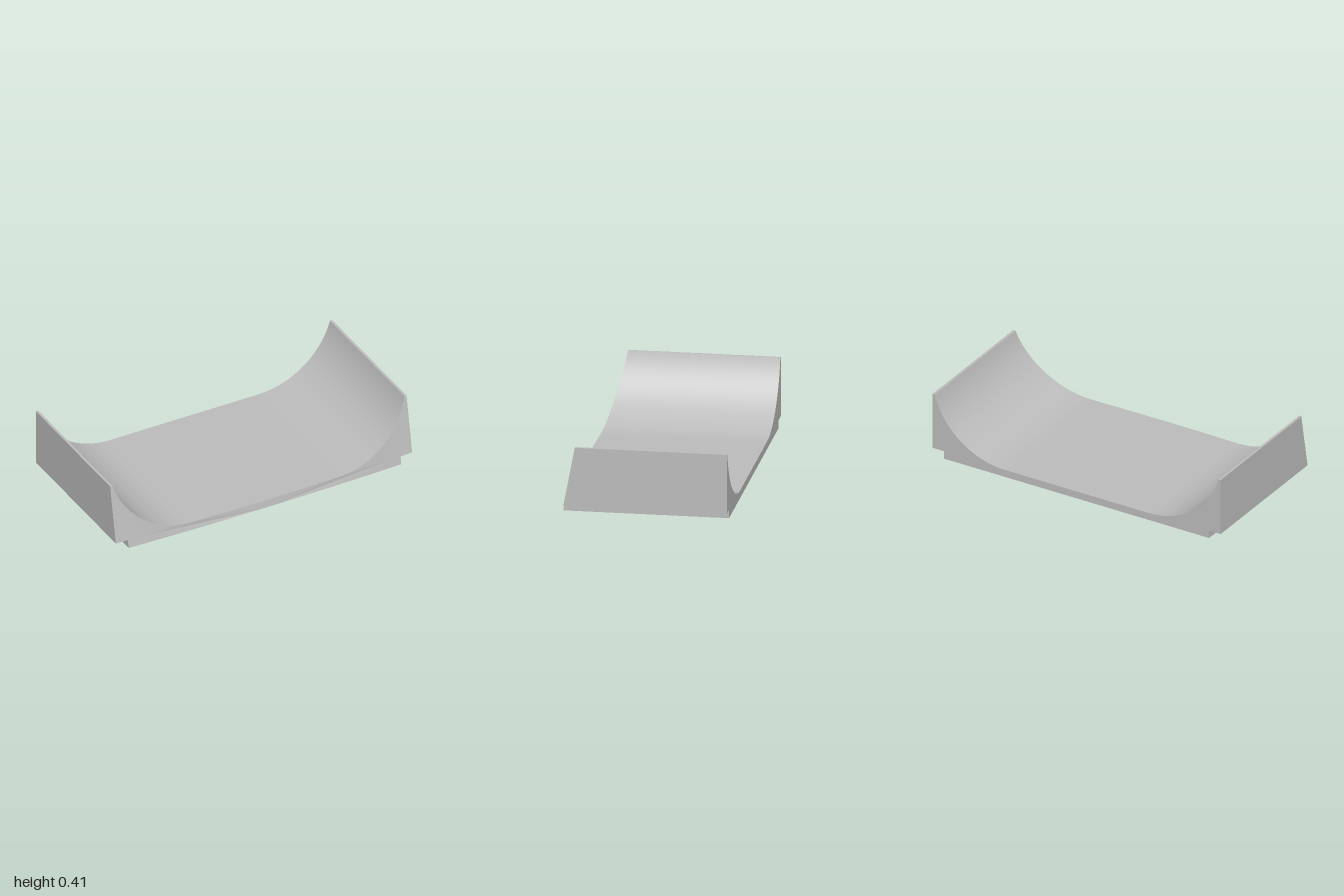
import * as THREE from 'three';
import { toCreasedNormals } from 'three/addons/utils/BufferGeometryUtils.js';

const BACK = -0.505;
const FLOOR = 0.047;
const TOP = 0.415;
const RADIUS = 0.503;

// Height of the inner surface: flat floor with a circular sweep up each side
function innerHeight(angle) {
  return FLOOR + RADIUS * (1 - Math.cos(angle));
}

export function createModel() {
  const group = new THREE.Group();
  group.name = 'curvedCradle';
  const grey = new THREE.MeshStandardMaterial({ color: 0xbcbcbc });
  grey.name = 'light grey';

  // Cross-section, starting along the underside
  const pts = [];
  const steps = 16;
  for (let i = 0; i <= steps; i++) pts.push([-0.92 + (1.84 * i) / steps, 0]);
  pts.push([0.92, 0.05], [1, 0.05], [1, TOP]);

  // Right-hand sweep, floor, then the mirrored sweep
  const arcSteps = 28;
  const maxAngle = Math.acos(1 - (TOP - FLOOR) / RADIUS);
  const arc = [];
  for (let i = 0; i <= arcSteps; i++) {
    const a = (maxAngle * i) / arcSteps;
    arc.push([0.5 + RADIUS * Math.sin(a), innerHeight(a)]);
  }
  for (let i = arcSteps; i >= 0; i--) pts.push(arc[i]);
  for (let i = 1; i < 8; i++) pts.push([0.5 - i / 8, FLOOR]);
  for (const [x, y] of arc) pts.push([-x, y]);
  pts.push([-1, TOP], [-1, 0.05], [-0.92, 0.05]);

  const shape = new THREE.Shape(pts.map(([x, y]) => new THREE.Vector2(x, y)));
  const geometry = new THREE.ExtrudeGeometry(shape, { depth: 1, bevelEnabled: false });

  // Slope the front face back with height and bow it slightly across the width
  const p = geometry.attributes.position;
  for (let i = 0; i < p.count; i++) {
    const x = p.getX(i), y = p.getY(i);
    const front = 0.505 - 0.19 * y - 0.02 * x * x;
    p.setZ(i, p.getZ(i) > 0.5 ? front : BACK);
  }
  geometry.clearGroups();

  const body = new THREE.Mesh(toCreasedNormals(geometry, 0.4), grey);
  body.name = 'cradleBody';
  group.add(body);
  return group;
}
